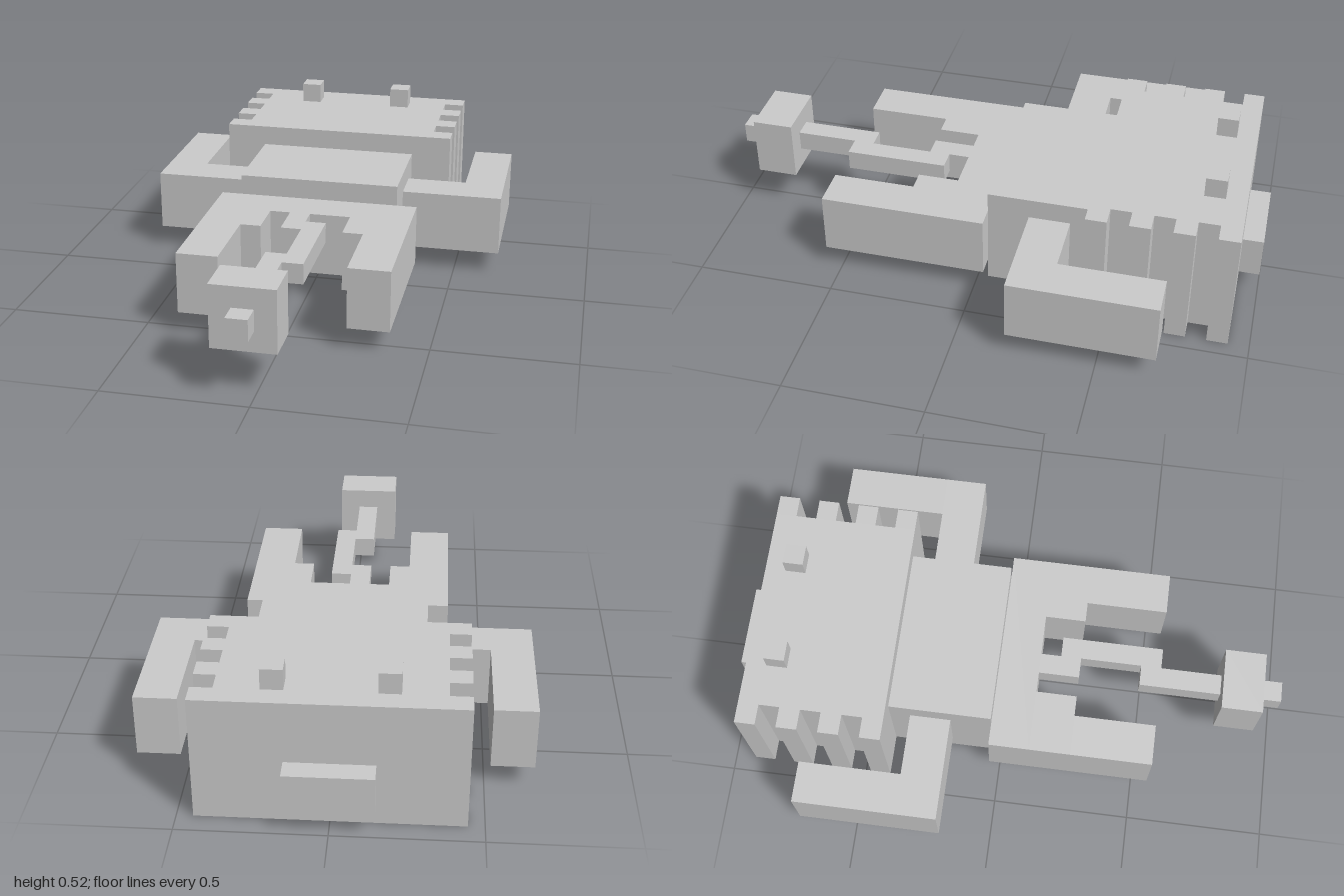
import * as THREE from 'three';

const U = 2 / 27; // one block
const LIFT = 0.006; // blocks sit slightly above the underside plate level

export function createModel() {
  const model = new THREE.Group();
  const material = new THREE.MeshStandardMaterial({ color: 0xcccccc, flatShading: true });

  // Box from ranges: x and y in blocks, z in blocks counted from the snout tip
  function block(name, [x0, x1], [y0, y1], [z0, z1], parent = model) {
    const bottom = y0 === 0 ? 0 : y0 * U + LIFT;
    const top = y1 * U + LIFT;
    const mesh = new THREE.Mesh(
      new THREE.BoxGeometry((x1 - x0) * U, top - bottom, (z1 - z0) * U), material);
    mesh.position.set((x0 + x1) / 2 * U, (bottom + top) / 2, (z0 + z1) / 2 * U - 1);
    mesh.name = name;
    parent.add(mesh);
  }

  // Same block on both sides
  function pair(name, [x0, x1], y, z, parent = model) {
    block(name + 'Left', [x0, x1], y, z, parent);
    block(name + 'Right', [-x1, -x0], y, z, parent);
  }

  // Head with side ridges, snout and eyes
  const head = new THREE.Group();
  head.name = 'head';
  model.add(head);
  block('skull', [-5, 5], [0, 6], [1, 8], head);
  for (let i = 0; i < 4; i++) {
    pair('ridge' + (i + 1), [5, 6], [0, 6], [1 + 2 * i, 2 + 2 * i], head);
  }
  block('snout', [-2, 2], [1, 3], [0, 1], head);
  pair('eye', [2, 3], [6, 7], [2, 3], head);

  // Body
  block('body', [-4, 4], [0, 5], [8, 13]);

  // Arms bent forward at the elbow
  pair('upperArm', [4, 9], [1, 4], [9, 11]);
  pair('forearm', [7, 9], [1, 4], [4, 9]);

  // Hips and stepped legs
  block('hips', [-5, 5], [1, 4], [13, 15]);
  pair('thigh', [2, 5], [1, 4], [15, 17]);
  pair('shin', [3, 5], [1, 4], [17, 21]);

  // Zigzag tail with a club and tip
  const tail = new THREE.Group();
  tail.name = 'tail';
  model.add(tail);
  block('tailBase', [-1, 0], [3, 4], [15, 17], tail);
  block('tailMiddle', [0, 1], [3, 4], [16, 21], tail);
  block('tailEnd', [-1, 0], [3, 4], [20, 24], tail);
  block('tailClub', [-2, 1], [2, 5], [24, 26], tail);
  block('tailTip', [-1, 0], [3, 4], [26, 27], tail);

  return model;
}
